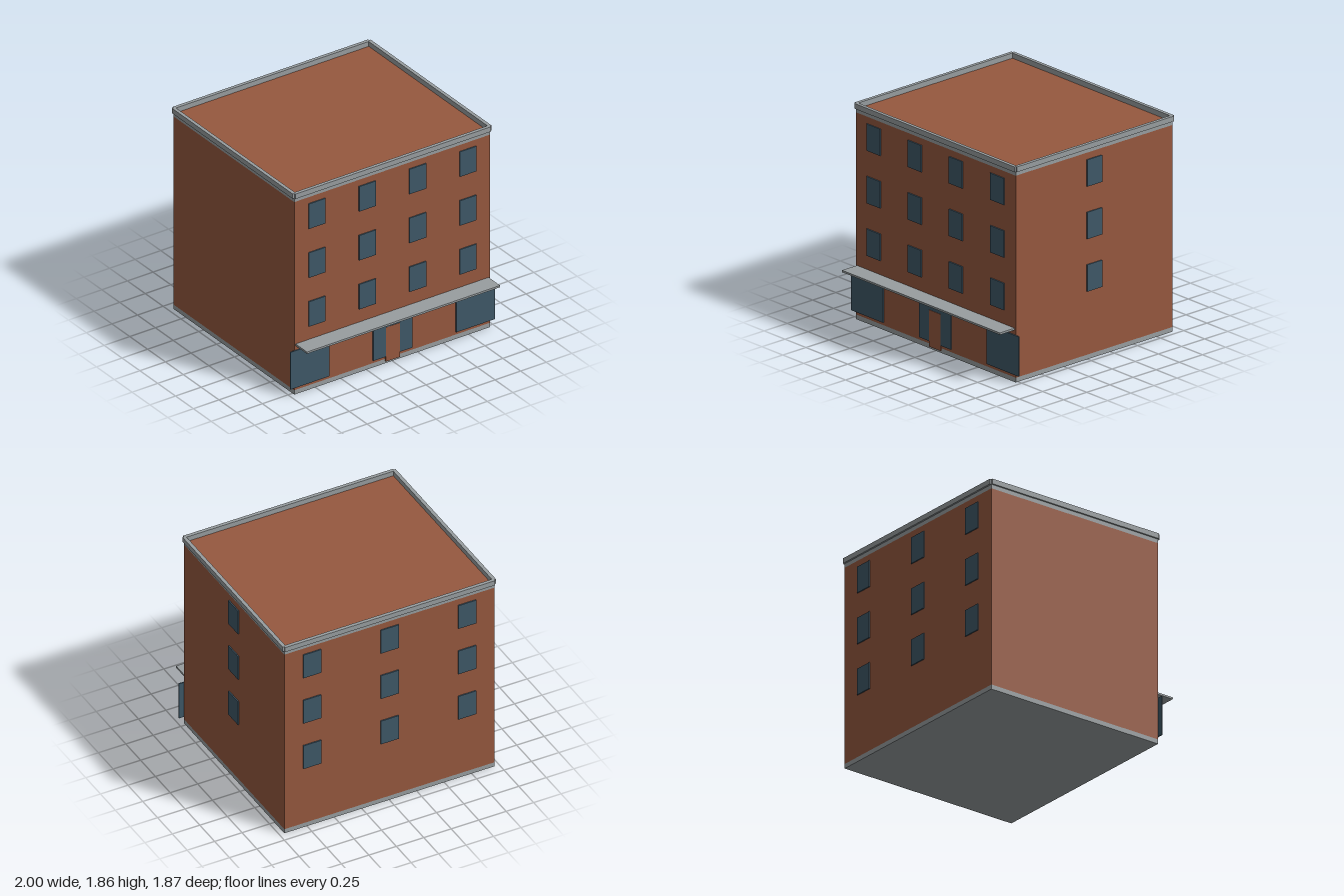
import * as THREE from 'three';

export function createModel() {
  const mat = (name, color) => {
    const m = new THREE.MeshStandardMaterial({ color });
    m.name = name;
    return m;
  };
  const brick = mat('brick', 0x96583f);
  const concrete = mat('concrete', 0x989ea0);
  const glass = mat('window glass', 0x3f5868);

  const model = new THREE.Group();
  model.name = 'building';

  // Box given by its extents on each axis
  const box = (name, material, [x0, x1], [y0, y1], [z0, z1]) => {
    const mesh = new THREE.Mesh(new THREE.BoxGeometry(x1 - x0, y1 - y0, z1 - z0), material);
    mesh.position.set((x0 + x1) / 2, (y0 + y1) / 2, (z0 + z1) / 2);
    mesh.name = name;
    model.add(mesh);
    return mesh;
  };
  const around = (c, size) => [c - size / 2, c + size / 2];

  const W = 0.956, front = 0.775, back = -0.918;
  const wallX = [-W, W], wallZ = [back, front];

  // Main volume: plinth, brick walls, and top band carrying the brick roof
  box('plinth', concrete, wallX, [0, 0.04], wallZ);
  box('walls', brick, wallX, [0.04, 1.775], wallZ);
  box('topBand', [concrete, concrete, brick, concrete, concrete, concrete], wallX, [1.775, 1.81], wallZ);

  // Parapet rails straddling the wall edges
  const railY = [1.81, 1.855], half = 0.015;
  for (const z of [front, back]) {
    box('parapetRail', concrete, wallX, railY, [z - half, z + half]);
  }
  for (const x of [-W, W]) {
    box('parapetRail', concrete, [x - half, x + half], railY, wallZ);
  }

  // Upper windows: four in front, three behind, one on the left side
  const t = 0.01, size = 0.162;
  for (const y of [0.7, 1.151, 1.602]) {
    const rows = around(y, 0.23);
    for (const x of [-0.738, -0.246, 0.246, 0.738]) {
      box('frontWindow', glass, around(x, size), rows, [front, front + t]);
    }
    for (const x of [-0.705, 0, 0.705]) {
      box('backWindow', glass, around(x, size), rows, [back - t, back]);
    }
    box('sideWindow', glass, [W, W + t], rows, around(-0.07, size));
  }

  // Shopfront panes, door and canopy
  for (const x of [-0.81, 0, 0.81]) {
    box('shopWindow', glass, around(x, 0.38), [0.065, 0.407], [front, front + t]);
  }
  box('door', brick, around(0, 0.136), [0.02, 0.335], [front, front + t + 0.002]);
  box('canopy', concrete, [-0.943, 0.943], [0.446, 0.463], [front, 0.935]);

  return model;
}
